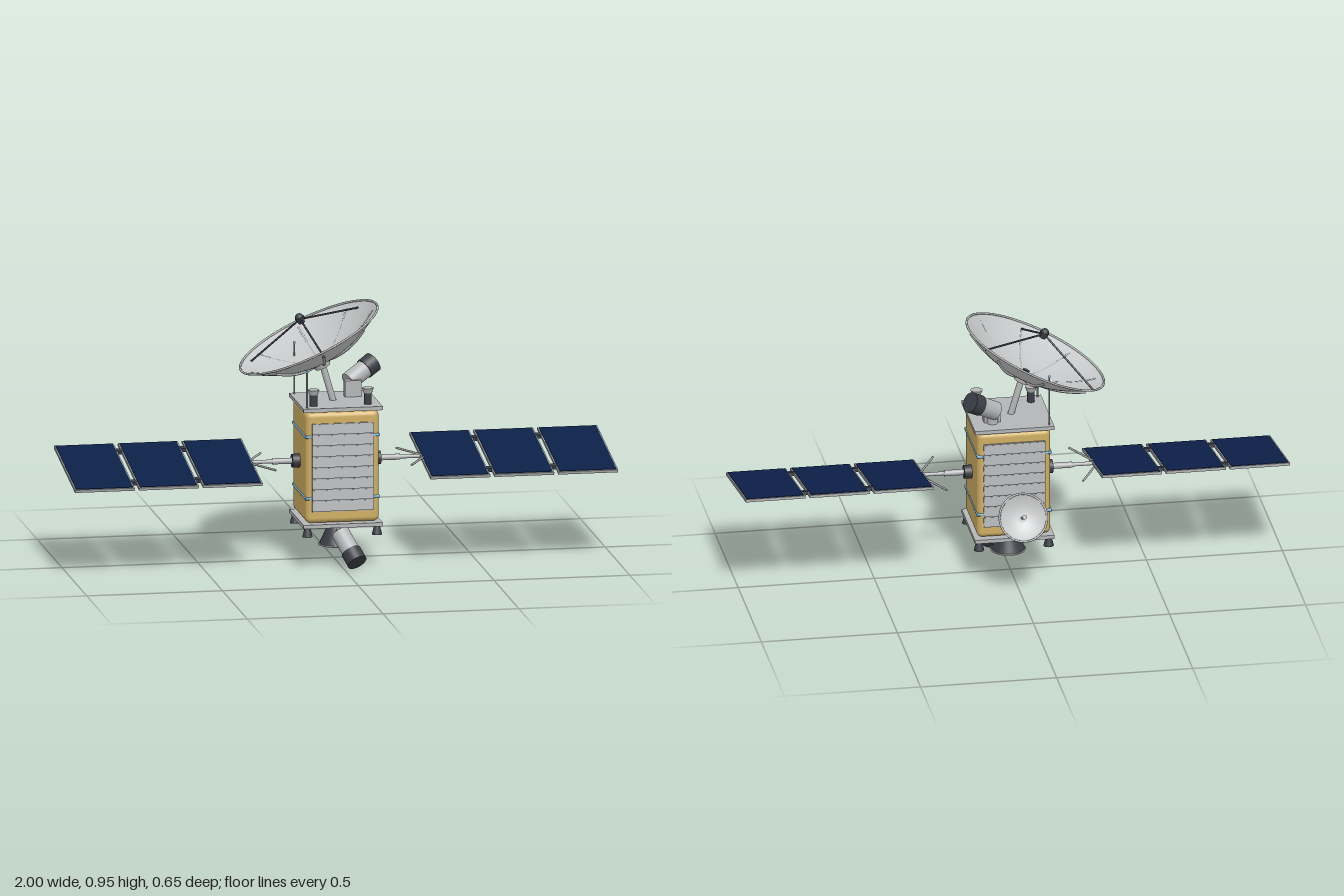
import * as THREE from 'three';
import { RoundedBoxGeometry } from 'three/addons/geometries/RoundedBoxGeometry.js';

const mat = (name, color, side = THREE.FrontSide) => {
  const m = new THREE.MeshStandardMaterial({ color, side });
  m.name = name;
  return m;
};

export function createModel() {
  const gold = mat('gold foil', 0xcfae62);
  const silver = mat('silver', 0xb4b5b7);
  const white = mat('dish grey', 0xc6c7c8, THREE.DoubleSide);
  const backGrey = mat('panel grey', 0xa6a7a8);
  const dark = mat('dark metal', 0x3a3d45, THREE.DoubleSide);
  const navy = mat('solar navy', 0x0c2048);
  const blue = mat('pale blue', 0x74b4d8);
  const CZ = 0.05; // centre line of the bus
  const UP = new THREE.Vector3(0, 1, 0);

  const root = new THREE.Group();
  root.name = 'satellite';
  const V = (x, y, z) => new THREE.Vector3(x, y, z);
  const add = (name, geo, m, x = 0, y = 0, z = 0, parent = root) => {
    const mesh = new THREE.Mesh(geo, m);
    mesh.name = name;
    mesh.position.set(x, y, z);
    parent.add(mesh);
    return mesh;
  };
  const group = (name, x = 0, y = 0, z = 0) => {
    const g = new THREE.Group();
    g.name = name;
    g.position.set(x, y, z);
    root.add(g);
    return g;
  };
  const box = (name, w, h, d, m, x, y, z, parent) =>
    add(name, new THREE.BoxGeometry(w, h, d), m, x, y, z, parent);
  // Cylinder or cone between two points, r0 at a and r1 at b
  const rod = (name, a, b, r0, m, parent = root, r1 = r0, seg = 20) => {
    const dir = b.clone().sub(a);
    const mesh = add(name, new THREE.CylinderGeometry(r1, r0, dir.length(), seg), m, 0, 0, 0, parent);
    mesh.position.copy(a).add(b).multiplyScalar(0.5);
    mesh.quaternion.setFromUnitVectors(UP, dir.normalize());
    return mesh;
  };

  // Bus with end plates and bands
  add('body', new RoundedBoxGeometry(0.27, 0.411, 0.27, 4, 0.02), gold, 0, 0.373, CZ);
  box('topPlate', 0.292, 0.014, 0.292, silver, 0, 0.588, CZ);
  box('bottomPlate', 0.292, 0.014, 0.292, silver, 0, 0.158, CZ);
  for (const y of [0.26, 0.488]) {
    add('band', new RoundedBoxGeometry(0.276, 0.01, 0.276, 2, 0.004), blue, 0, y, CZ);
  }

  // Louvred radiators on front and back
  for (const s of [1, -1]) {
    const g = group('radiator', 0, 0.374, CZ);
    if (s < 0) g.rotation.y = Math.PI;
    box('radiatorBack', 0.226, 0.326, 0.006, backGrey, 0, 0, 0.137, g);
    for (let i = 0; i < 8; i++) {
      const slat = box('louver', 0.226, 0.037, 0.004, silver, 0, -0.142 + i * 0.0406, 0.142, g);
      slat.rotation.x = -0.12;
    }
  }

  // Solar wings, mirrored
  for (const s of [1, -1]) {
    const wing = group(s > 0 ? 'leftWing' : 'rightWing', 0, 0.375, CZ);
    rod('wingHub', V(s * 0.13, 0, 0), V(s * 0.163, 0, 0), 0.025, dark, wing);
    rod('boom', V(s * 0.16, 0, 0), V(s * 0.235, 0, 0), 0.011, silver, wing);
    rod('boomTip', V(s * 0.23, 0, 0), V(s * 0.33, 0, 0), 0.007, silver, wing);
    for (const k of [1, -1]) {
      rod('yokeStrut', V(s * 0.328, 0, 0), V(s * 0.25, 0, k * 0.153), 0.004, backGrey, wing, 0.004, 8);
    }
    const array = new THREE.Group();
    array.name = 'solarArray';
    array.rotation.x = THREE.MathUtils.degToRad(10);
    wing.add(array);
    for (let i = 0; i < 3; i++) {
      const x = s * (0.419 + i * 0.2355);
      box('panel', 0.22, 0.01, 0.436, backGrey, x, 0, 0, array);
      box('solarCells', 0.21, 0.003, 0.424, navy, x, 0.0055, 0, array);
      if (i < 2) {
        for (const k of [1, -1]) {
          box('hinge', 0.02, 0.014, 0.022, dark, x + s * 0.1178, 0, k * 0.151, array);
        }
      }
    }
  }

  // Parabolic bowl opening along +y, vertex at the local origin
  const bowl = (R, depth, parent) => {
    const pts = [];
    for (let i = 0; i <= 14; i++) {
      const r = Math.max(R * i / 14, 0.0005);
      pts.push(new THREE.Vector2(r, depth * (r / R) ** 2));
    }
    add('bowl', new THREE.LatheGeometry(pts, 64), white, 0, 0, 0, parent);
    const rim = add('rim', new THREE.TorusGeometry(R - 0.002, 0.004, 8, 64), silver, 0, depth, 0, parent);
    rim.rotation.x = Math.PI / 2;
  };

  // Main dish on its mast
  rod('mast', V(-0.01, 0.59, CZ), V(-0.049, 0.725, CZ), 0.012, silver);
  const dish = group('mainDish', -0.058, 0.739, CZ);
  dish.rotation.z = THREE.MathUtils.degToRad(25);
  const R = 0.276, depth = 0.1;
  bowl(R, depth, dish);
  rod('dishHub', V(0, -0.022, 0), V(0, 0.006, 0), 0.03, silver, dish, 0.036);
  for (let i = 0; i < 8; i++) {
    const a = i * Math.PI / 4;
    const pts = [0.02, 0.08, 0.14, 0.2, 0.255].map((r) =>
      V(r * Math.cos(a), depth * (r / R) ** 2 - 0.004, r * Math.sin(a)));
    add('rib', new THREE.TubeGeometry(new THREE.CatmullRomCurve3(pts), 16, 0.005, 6), silver, 0, 0, 0, dish);
  }
  for (let i = 0; i < 3; i++) {
    const a = Math.PI / 2 + i * Math.PI * 2 / 3;
    rod('feedStrut', V(0.25 * Math.cos(a), 0.083, 0.25 * Math.sin(a)), V(0, 0.176, 0), 0.0035, dark, dish, 0.0035, 8);
  }
  rod('feed', V(0, 0.16, 0), V(0, 0.182, 0), 0.012, dark, dish, 0.018);
  add('feedCap', new THREE.SphereGeometry(0.016, 16, 10), dark, 0, 0.182, 0, dish);
  rod('feedHorn', V(0, 0, 0), V(0, 0.024, 0), 0.008, dark, dish, 0.013);

  // Rear dish on its arm
  rod('rearArm', V(0, 0.31, -0.08), V(0, 0.31, -0.256), 0.007, silver);
  const rear = group('rearDish', 0, 0.311, -0.255);
  rear.rotation.x = THREE.MathUtils.degToRad(-63);
  bowl(0.089, 0.029, rear);
  rod('rearHub', V(0, -0.012, 0), V(0, 0.003, 0), 0.011, silver, rear, 0.016);
  rod('rearFeed', V(0, 0, 0), V(0, 0.062, 0), 0.005, silver, rear, 0.008);

  // Telescopes: silver tube with a dark hood
  const scope = (name, a, b, r) => {
    const g = group(name);
    const mid = a.clone().lerp(b, 0.64);
    rod('tube', a, mid, r * 0.9, silver, g, r * 0.9, 28);
    rod('hood', mid, b, r, dark, g, r, 28);
  };
  scope('topTelescope', V(0.06, 0.643, -0.028), V(0.16, 0.703, -0.075), 0.038);
  box('topBracket', 0.06, 0.06, 0.036, silver, 0.07, 0.625, -0.004);
  rod('topPedestal', V(0.07, 0.59, -0.025), V(0.07, 0.645, -0.025), 0.02, silver);
  scope('bottomTelescope', V(0, 0.12, 0.14), V(0.045, 0.028, 0.232), 0.037);
  rod('bottomPost', V(0, 0.09, 0.135), V(0, 0.155, 0.135), 0.016, silver);
  add('bottomJoint', new THREE.SphereGeometry(0.022, 16, 12), dark, 0, 0.115, 0.138);

  // Main engine and corner thrusters
  rod('engineNozzle', V(0, 0.063, CZ), V(0, 0.152, CZ), 0.062, dark, root, 0.022, 36);
  const lip = add('nozzleLip', new THREE.TorusGeometry(0.062, 0.003, 8, 36), silver, 0, 0.062, CZ);
  lip.rotation.x = Math.PI / 2;
  for (const sx of [1, -1]) {
    for (const sz of [1, -1]) {
      const x = sx * 0.128, z = CZ + sz * 0.125;
      rod('thruster', V(x, 0.118, z), V(x, 0.152, z), 0.019, dark, root, 0.01);
    }
    // Horn antennas on the top plate
    rod('hornBase', V(sx * 0.1, 0.59, 0.143), V(sx * 0.1, 0.638, 0.143), 0.014, dark);
    rod('hornMouth', V(sx * 0.1, 0.636, 0.143), V(sx * 0.1, 0.655, 0.143), 0.015, silver, root, 0.022);
  }

  // Whip antennas
  for (const [z, top] of [[0.178, 0.727], [-0.078, 0.785]]) {
    rod('whip', V(-0.13, 0.59, z), V(-0.13, top, z), 0.003, backGrey, root, 0.003, 8);
    add('whipTip', new THREE.SphereGeometry(0.005, 10, 8), blue, -0.13, top, z);
  }
  return root;
}
